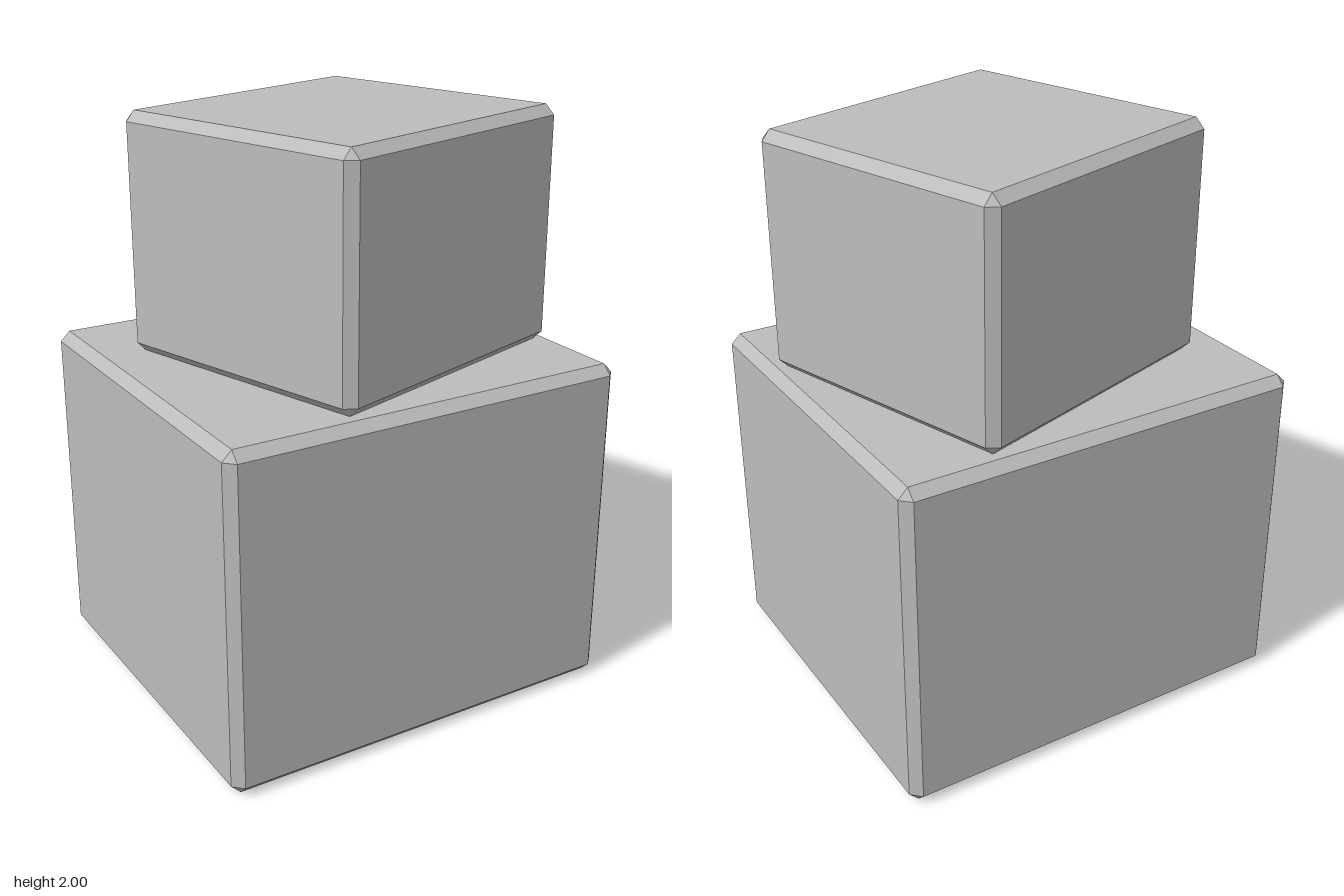
import * as THREE from 'three';
import { ConvexGeometry } from 'three/addons/geometries/ConvexGeometry.js';

const BEVEL = 0.034;

// Box with flat 45 degree chamfers on all edges and small triangles at the corners
function chamferedBox(width, height, depth) {
  const [x, y, z] = [width / 2, height / 2, depth / 2];
  const points = [];
  for (const sx of [-1, 1]) for (const sy of [-1, 1]) for (const sz of [-1, 1]) {
    points.push(
      new THREE.Vector3(sx * x, sy * (y - BEVEL), sz * (z - BEVEL)),
      new THREE.Vector3(sx * (x - BEVEL), sy * y, sz * (z - BEVEL)),
      new THREE.Vector3(sx * (x - BEVEL), sy * (y - BEVEL), sz * z)
    );
  }
  return new ConvexGeometry(points);
}

export function createModel() {
  const group = new THREE.Group();
  group.name = 'stackedBoxes';
  const grey = new THREE.MeshStandardMaterial({ color: 0xbcbcbc, flatShading: true });
  grey.name = 'plain grey';

  function addBox(name, [w, h, d], [x, base, z], turn) {
    const box = new THREE.Mesh(chamferedBox(w, h, d), grey);
    box.name = name;
    box.position.set(x, base + h / 2, z);
    box.rotation.y = turn;
    group.add(box);
  }

  // Large box on the ground, smaller box twisted on top
  addBox('lowerBox', [1.47, 1.18, 1.32], [0, 0, 0], 0.2);
  addBox('upperBox', [1.056, 0.82, 0.995], [0.055, 1.18, -0.012], 0.5);

  return group;
}
